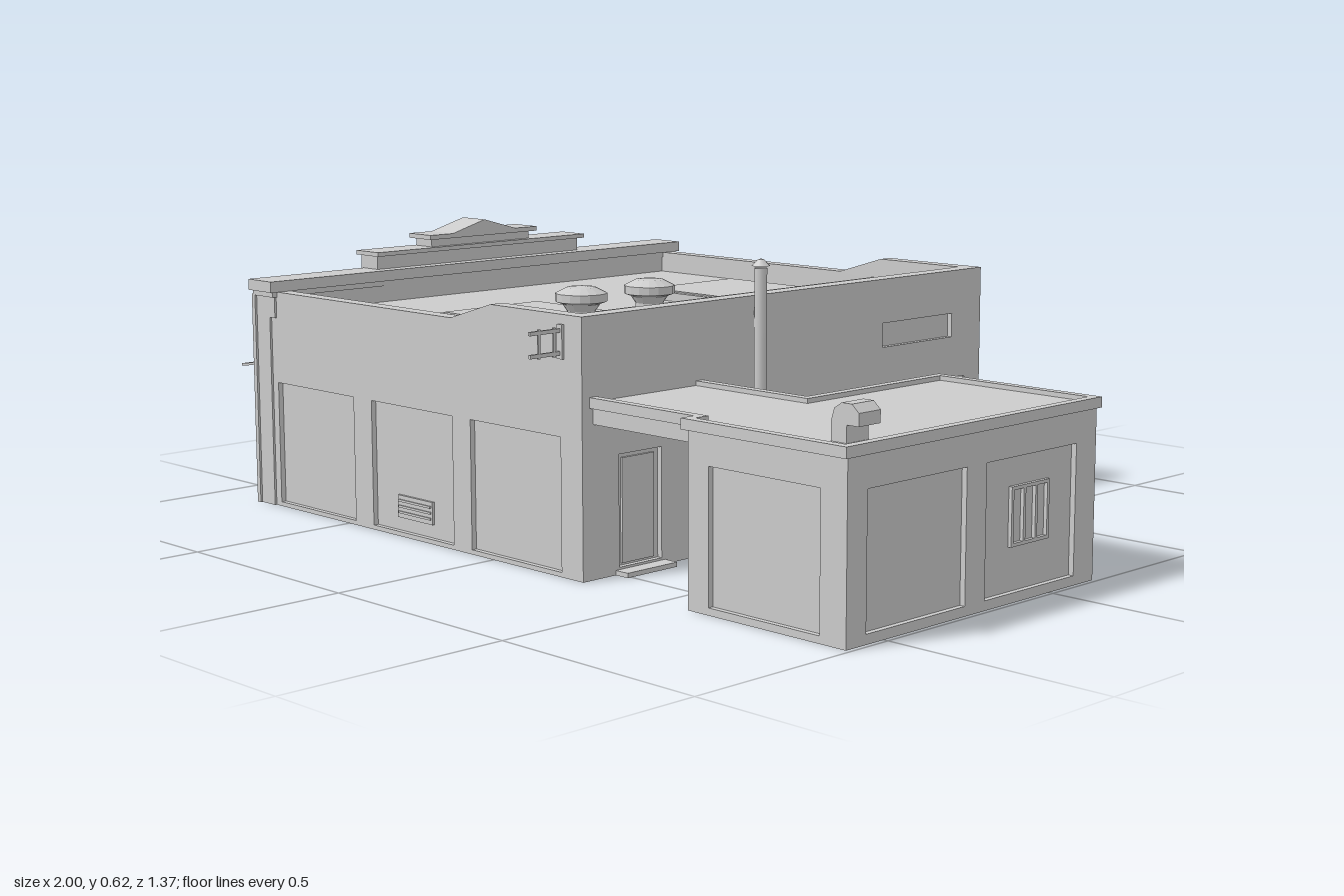
import * as THREE from 'three';

export function createModel() {
  const root = new THREE.Group();
  const mat = new THREE.MeshStandardMaterial({ color: 0xcccccc, side: THREE.DoubleSide });
  const flat = new THREE.MeshStandardMaterial({ color: 0xcccccc, side: THREE.DoubleSide, flatShading: true });

  const add = (name, geo, parent = root, m = mat) => {
    const mesh = new THREE.Mesh(geo, m);
    mesh.name = name;
    parent.add(mesh);
    return mesh;
  };
  // box given by its min / max extents
  const box = (name, x0, x1, y0, y1, z0, z1, parent = root) => {
    const mesh = add(name, new THREE.BoxGeometry(x1 - x0, y1 - y0, z1 - z0), parent);
    mesh.position.set((x0 + x1) / 2, (y0 + y1) / 2, (z0 + z1) / 2);
    return mesh;
  };
  const poly = (pts) => new THREE.Shape(pts.map(([x, y]) => new THREE.Vector2(x, y)));
  const rect = (a, b, c, d) => [[a, c], [b, c], [b, d], [a, d]];
  const extrude = (pts, depth, holes = []) => {
    const s = poly(pts);
    s.holes = holes.map(poly);
    return new THREE.ExtrudeGeometry(s, { depth, bevelEnabled: false });
  };

  // Thin wall with recessed panels; u runs along world x or z, face is '+x', '-x', '+z' or '-z'
  const wall = (name, face, at, outline, panels, recess = 0.012) => {
    const g = new THREE.Group();
    g.name = name;
    g.rotation.y = { '+z': 0, '-z': Math.PI, '+x': Math.PI / 2, '-x': -Math.PI / 2 }[face];
    if (face[1] === 'x') g.position.x = at; else g.position.z = at;
    const s = face === '+z' || face === '-x' ? 1 : -1;
    const flip = (pts) => pts.map(([u, v]) => [s * u, v]);
    const shell = add(name + 'Shell', extrude(flip(outline), recess, panels.map((p) => flip(rect(...p)))), g);
    shell.position.z = -recess;
    panels.forEach(([a, b, c, d]) =>
      box(name + 'Panel', Math.min(s * a, s * b) - 0.003, Math.max(s * a, s * b) + 0.003,
        c - 0.003, d + 0.003, -recess - 0.004, -recess, g));
    root.add(g);
    // framed element sitting proud of a surface, in wall coordinates
    g.bar = (n, a, b, c, d, z0, z1) => box(n, Math.min(s * a, s * b), Math.max(s * a, s * b), c, d, z0, z1, g);
    return g;
  };
  // window: frame and mullions in wall coordinates
  const windowFrame = (g, a, b, c, d, z, cols = 2, rows = 1) => {
    const t = 0.007;
    for (let i = 0; i <= cols; i++) {
      const u = a + (b - a - t) * i / cols;
      g.bar('windowUpright', u, u + t, c, d, z, z + 0.008);
    }
    for (let i = 0; i <= rows; i++) {
      const v = c + (d - c - t) * i / rows;
      g.bar('windowRail', a, b, v, v + t, z, z + 0.008);
    }
  };

  // Main hall side walls, with the roof line rising toward +x
  const top = [[0.28, 0.54], [0, 0.54], [-0.13, 0.5], [-0.8, 0.5]];
  const bays = [[-0.76, -0.475, 0.01, 0.29], [-0.41, -0.13, 0.01, 0.29], [-0.07, 0.215, 0.01, 0.29]];
  for (const [face, at] of [['+z', 0.6], ['-z', -0.665]]) {
    const g = wall('sideWall', face, at, [[-0.8, 0], [0.28, 0], ...top], bays);
    g.bar('wallVent', -0.33, -0.21, 0.04, 0.09, -0.012, -0.006);
    for (let i = 0; i < 3; i++) g.bar('ventSlat', -0.325, -0.215, 0.05 + i * 0.013, 0.055 + i * 0.013, -0.006, -0.003);
    const p = add('sideParapet', extrude([[-0.76, 0.44], [0.28, 0.44], ...top], 0.035));
    p.position.z = face === '+z' ? at - 0.035 : at;
  }

  // Hall wall facing the annex: roll-up door, high window, side door, small window
  const east = wall('hallEndWall', '+x', 0.28, rect(-0.665, 0.6, 0, 0.54),
    [[-0.59, -0.15, 0.005, 0.255], [-0.56, -0.315, 0.385, 0.5], [0.38, 0.5, 0.015, 0.25], [0, 0.12, 0.11, 0.23]]);
  east.bar('rollDoorHousing', -0.597, -0.143, 0.255, 0.29, 0, 0.012);
  east.bar('doorLeaf', 0.395, 0.485, 0.02, 0.24, -0.012, -0.007);
  windowFrame(east, 0, 0.12, 0.11, 0.23, -0.01, 3, 1);
  box('doorStep', 0.28, 0.315, 0, 0.01, 0.37, 0.51);
  box('endParapet', 0.24, 0.28, 0.44, 0.54, -0.665, 0.6);

  // Two-level roof with skylights
  box('lowRoof', -0.8, -0.02, 0.44, 0.45, -0.65, 0.59);
  box('raisedRoof', -0.02, 0.27, 0.44, 0.495, -0.65, 0.59);
  for (const [z0, z1] of [[-0.51, -0.2], [0.13, 0.435]]) {
    box('skylight', -0.39, -0.125, 0.45, 0.47, z0, z1);
    box('skylightGlass', -0.375, -0.14, 0.47, 0.473, z0 + 0.015, z1 - 0.015);
  }
  // Mushroom roof ventilators
  const ventProfile = [[0.03, 0.49], [0.03, 0.525], [0.04, 0.54], [0.054, 0.545], [0.054, 0.562], [0.03, 0.574], [0, 0.577]]
    .map(([r, y]) => new THREE.Vector2(r, y));
  for (const z of [0.26, 0.455]) add('roofVentilator', new THREE.LatheGeometry(ventProfile, 16), root, flat).position.set(0.12, 0, z);

  // Storefront with three deep bays
  const shop = [[-0.6, -0.36, 0.03, 0.42], [-0.29, 0.23, 0.03, 0.42], [0.3, 0.545, 0.03, 0.42]];
  const front = wall('storefront', '-x', -0.83, rect(-0.665, 0.605, 0, 0.5), shop, 0.05);
  for (const [a, b, c, d] of shop) {
    const wide = b - a > 0.4;
    windowFrame(front, a, b, c + 0.06, 0.29, -0.05, wide ? 4 : 3);
    windowFrame(front, a, b, 0.32, d, -0.05, wide ? 4 : 3);
    front.bar('bulkhead', a, b, c, c + 0.05, -0.05, -0.025);
    front.bar('transomBeam', a, b, 0.295, 0.32, -0.05, -0.02);
    front.bar('sill', a, b, c + 0.05, c + 0.06, -0.05, -0.015);
  }
  for (const u of [-0.16, 0.1]) front.bar('doorHandle', u - 0.004, u + 0.004, 0.14, 0.19, -0.045, -0.035);
  for (const [a, b] of [[-0.67, -0.615], [-0.35, -0.3], [0.24, 0.29], [0.555, 0.61]])
    front.bar('pilaster', a, b, 0, 0.49, 0, 0.012);
  box('storefrontParapet', -0.83, -0.76, 0.44, 0.5, -0.665, 0.605);
  box('storefrontCorniceBase', -0.835, -0.757, 0.488, 0.5, -0.675, 0.612);
  box('storefrontCornice', -0.84, -0.752, 0.5, 0.525, -0.685, 0.62);

  // Stepped pediment centred on the storefront
  const pz = -0.03;
  box('pedimentBase', -0.848, -0.785, 0.45, 0.557, pz - 0.32, pz + 0.32);
  box('pedimentBaseCap', -0.853, -0.77, 0.557, 0.567, pz - 0.33, pz + 0.33);
  const peak = (w, y, dy) => [[-w, y], [-0.1, y], [0, y + 0.028], [0.1, y], [w, y], [w, y - dy], [-w, y - dy]];
  const gable = (name, w, y, dy, x0, x1) => {
    const m = add(name, extrude(peak(w, y, dy), x1 - x0));
    m.rotation.y = -Math.PI / 2;
    m.position.set(x1, 0, pz);
  };
  gable('pedimentCrown', 0.155, 0.586, 0.022, -0.845, -0.785);
  gable('pedimentCrownCap', 0.17, 0.597, 0.011, -0.853, -0.77);
  box('pedimentSign', -0.855, -0.848, 0.47, 0.535, pz - 0.22, pz + 0.22);

  // Curved awnings
  const awning = (z0, z1, out) => {
    const c = new THREE.QuadraticBezierCurve(new THREE.Vector2(-0.825, 0.345),
      new THREE.Vector2(-0.9, 0.315), new THREE.Vector2(out, 0.306));
    const p = c.getPoints(6).map((v) => [v.x, v.y]);
    const under = p.map(([x, y]) => [x, y - 0.006]).reverse();
    add('awning', extrude([...p, ...under], z1 - z0)).position.z = z0;
  };
  awning(-0.61, -0.36, -0.98);
  awning(-0.3, 0.23, -1);
  awning(0.3, 0.55, -0.98);

  // Annex walls
  const tall = 0.36;
  const ax = rect(0.585, 0.99, 0, tall), az = rect(-0.145, 0.605, 0, tall);
  wall('annexFrontWall', '+z', 0.605, ax, [[0.64, 0.925, 0.015, 0.29]]);
  wall('annexBackWall', '-z', -0.145, ax, [[0.64, 0.925, 0.015, 0.29]]);
  const outer = wall('annexOuterWall', '+x', 0.99, az, [[0.265, 0.55, 0.02, 0.29], [-0.08, 0.205, 0.02, 0.29]]);
  windowFrame(outer, 0, 0.12, 0.11, 0.23, -0.012, 3, 1);
  const inner = wall('annexInnerWall', '-x', 0.585, az, [[0.3, 0.44, 0.11, 0.23]]);
  windowFrame(inner, 0.3, 0.44, 0.11, 0.23, -0.01, 2, 2);

  // Annex roof joined to the canopy, with a raised rim
  const ell = (i) => [[0.575 + i, -0.155 + i], [0.995 - i, -0.155 + i], [0.995 - i, 0.615 - i], [0.575 + i, 0.615 - i],
    [0.575 + i, 0.58 - i], [0.28, 0.58 - i], [0.28, 0.26 + i], [0.575 + i, 0.26 + i]];
  const slab = (name, geo, y) => {
    const m = add(name, geo);
    m.rotation.x = Math.PI / 2;
    m.position.y = y;
  };
  slab('annexRoof', extrude(ell(0.018), 0.01), 0.366);
  const rim = extrude([...ell(0).slice(0, 6), ...ell(0.02).slice(0, 6).reverse()], 0.022);
  slab('roofRim', rim, 0.376);
  slab('roofRimBack', extrude([ell(0)[6], ell(0)[7], ell(0)[0], ell(0.02)[0], ell(0.02)[7], ell(0.02)[6]], 0.022), 0.376);
  box('canopy', 0.28, 0.585, 0.32, 0.358, 0.27, 0.57);

  // Canopy lamp
  add('lampShade', new THREE.CylinderGeometry(0.006, 0.022, 0.012, 12)).position.set(0.42, 0.301, 0.42);
  add('lampStem', new THREE.CylinderGeometry(0.003, 0.003, 0.02, 8)).position.set(0.42, 0.312, 0.42);

  // Flue pipe with elbow and cap
  const path = new THREE.CurvePath();
  const V = (x, y, z) => new THREE.Vector3(x, y, z);
  path.add(new THREE.LineCurve3(V(0.299, 0.6, 0.105), V(0.299, 0.225, 0.105)));
  path.add(new THREE.QuadraticBezierCurve3(V(0.299, 0.225, 0.105), V(0.299, 0.208, 0.105), V(0.27, 0.208, 0.105)));
  add('fluePipe', new THREE.TubeGeometry(path, 48, 0.014, 12));
  add('flueCap', new THREE.CylinderGeometry(0.006, 0.02, 0.014, 12)).position.set(0.299, 0.612, 0.105);

  // Hooded vent on the annex roof
  const hood = [[0.915, 0.366], [0.915, 0.4], [0.925, 0.42], [0.94, 0.425], [0.96, 0.405], [0.967, 0.425],
    [0.95, 0.44], [0.925, 0.44], [0.907, 0.428], [0.9, 0.405], [0.9, 0.366]];
  const solid = [[0.9, 0.366], [0.938, 0.366], [0.938, 0.4], [0.967, 0.4], ...hood.slice(5)];
  add('roofHood', extrude(solid.slice(0, -1), 0.06)).position.z = 0.49;

  // Bracket projecting from the front wall
  for (const y of [0.462, 0.508]) box('bracketArm', 0.217, 0.223, y - 0.004, y + 0.004, 0.6, 0.685);
  for (const z of [0.62, 0.66]) box('bracketTie', 0.218, 0.222, 0.455, 0.515, z - 0.003, z + 0.003);
  box('bracketPlate', 0.212, 0.228, 0.45, 0.52, 0.6, 0.606);

  return root;
}
